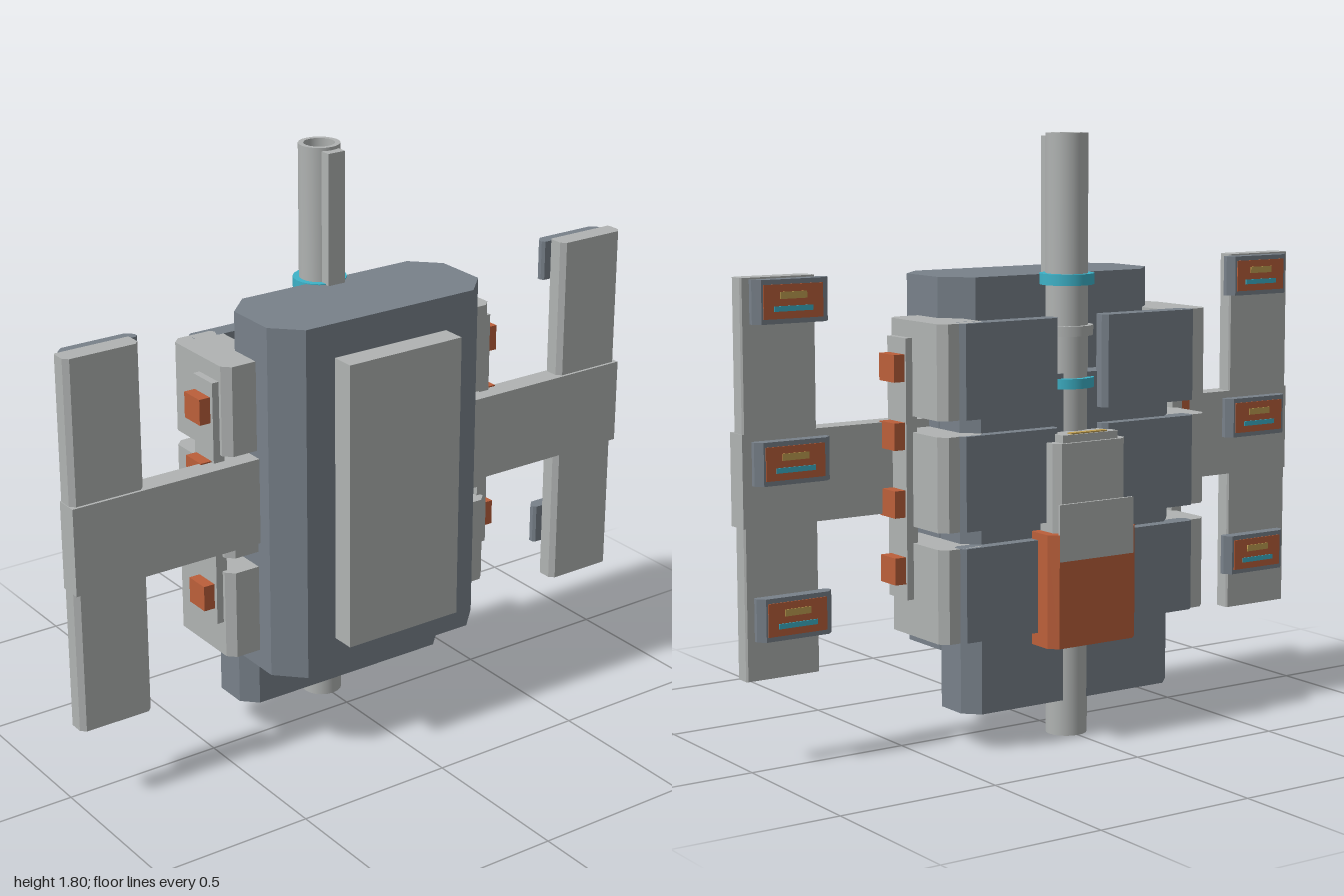
import * as THREE from 'three';

const flat = (name, color) => {
  const m = new THREE.MeshStandardMaterial({ color });
  m.name = name;
  return m;
};

export function createModel() {
  const root = new THREE.Group();
  root.name = 'spaceModule';
  const light = flat('lightGrey', 0xb0b3b2);
  const dark = flat('slateGrey', 0x78818a);
  const orange = flat('rustOrange', 0xbb5f3a);
  const teal = flat('teal', 0x3db2c8);
  const yellow = flat('ochre', 0xc2a052);

  const add = (name, geo, mat) => {
    const m = new THREE.Mesh(geo, mat);
    m.name = name;
    root.add(m);
    return m;
  };

  // Box given by its limits
  const box = (name, mat, x0, x1, y0, y1, z0, z1) => {
    const g = new THREE.BoxGeometry(x1 - x0, y1 - y0, z1 - z0);
    g.translate((x0 + x1) / 2, (y0 + y1) / 2, (z0 + z1) / 2);
    return add(name, g, mat);
  };

  // Upright prism with cut corners: cf at the front, cb at the back
  const prism = (name, mat, x0, x1, y0, y1, z0, z1, cf, cb = cf) => {
    const pts = [
      [x0 + cf, z1], [x1 - cf, z1], [x1, z1 - cf], [x1, z0 + cb],
      [x1 - cb, z0], [x0 + cb, z0], [x0, z0 + cb], [x0, z1 - cf],
    ];
    const shape = new THREE.Shape(pts.map(([x, z]) => new THREE.Vector2(x, -z)));
    const g = new THREE.ExtrudeGeometry(shape, { depth: y1 - y0, bevelEnabled: false });
    g.rotateX(-Math.PI / 2).translate(0, y0, 0);
    return add(name, g, mat);
  };

  // Hollow upright tube around the mast axis
  const mastZ = -0.14;
  const tube = (name, mat, rOut, rIn, y0, y1) => {
    const profile = [[rIn, y0], [rOut, y0], [rOut, y1], [rIn, y1], [rIn, y0]];
    const parts = new THREE.Group();
    parts.name = name;
    for (let i = 0; i < 4; i++) {
      const pair = [profile[i], profile[i + 1]].map(([r, y]) => new THREE.Vector2(r, y));
      const m = new THREE.Mesh(new THREE.LatheGeometry(pair, 20), mat);
      m.name = name + 'Surface';
      m.position.z = mastZ;
      parts.add(m);
    }
    root.add(parts);
  };

  // Main hull, front plate and lower core
  prism('hull', dark, -0.38, 0.38, 0.28, 1.39, -0.105, 0.225, 0.08);
  box('frontPlate', light, -0.2, 0.2, 0.385, 1.285, 0.225, 0.3);
  prism('core', dark, -0.38, 0.38, 0.11, 1.1, -0.185, 0.01, 0.045);

  // Mast with its rail, rings and collar
  tube('mast', light, 0.063, 0.047, 0, 1.805);
  box('mastRail', light, -0.03, 0.03, 1.3, 1.795, -0.085, -0.05);
  tube('upperRing', teal, 0.082, 0.06, 1.36, 1.393);
  tube('collar', light, 0.079, 0.06, 1.21, 1.24);
  tube('lowerRing', teal, 0.082, 0.06, 1.055, 1.085);

  // Cross arm
  box('crossArm', light, -1, 1, 0.7, 0.97, 0.025, 0.097);

  for (const s of [-1, 1]) {
    // Mirrored limits in x
    const mx = (a, b) => (s > 0 ? [a, b] : [-b, -a]);

    // Three side modules with back panels
    for (const y of [0.34, 0.667, 0.992]) {
      prism('sideModule', light, ...mx(0.33, 0.485), y, y + 0.278, -0.208, 0.085, 0.024);
      prism('backPanel', dark, ...mx(0.08, 0.425), y, y + 0.278, -0.222, -0.165, 0.015);
    }

    // Side strip with four thrusters
    box('sideStrip', light, ...mx(0.47, 0.507), 0.45, 1.22, -0.052, 0.05);
    for (const y of [0.497, 0.695, 0.894, 1.093])
      box('thruster', orange, ...mx(0.5, 0.543), y, y + 0.08, -0.045, 0.037);

    // Wing
    prism('wing', light, ...mx(0.76, 0.998), 0.258, 1.41, 0.025, 0.088, 0.015, 0.005);

    // Wing pods with instrument faces
    for (const y of [0.375, 0.823, 1.28]) {
      prism('wingPod', dark, ...mx(0.73, 0.973), y, y + 0.125, -0.014, 0.028, 0.008, 0.02);
      box('podFace', orange, ...mx(0.757, 0.947), y + 0.014, y + 0.111, -0.017, -0.013);
      box('podYellowBar', yellow, ...mx(0.81, 0.895), y + 0.07, y + 0.09, -0.02, -0.016);
      box('podTealBar', teal, ...mx(0.79, 0.915), y + 0.035, y + 0.05, -0.02, -0.016);
    }
  }

  // Backpack: orange housing, light tower and cover plate
  prism('backpack', orange, -0.16, 0.16, 0.3, 0.64, -0.295, -0.185, 0.005, 0.026);
  prism('backpackTower', light, -0.13, 0.13, 0.5, 0.905, -0.272, -0.185, 0.005, 0.02);
  box('towerCap', light, -0.1, 0.1, 0.9, 0.928, -0.262, -0.19);
  box('towerMarker', yellow, -0.065, 0.065, 0.926, 0.932, -0.256, -0.236);
  box('coverPlate', light, -0.134, 0.134, 0.56, 0.73, -0.297, -0.288);

  return root;
}
